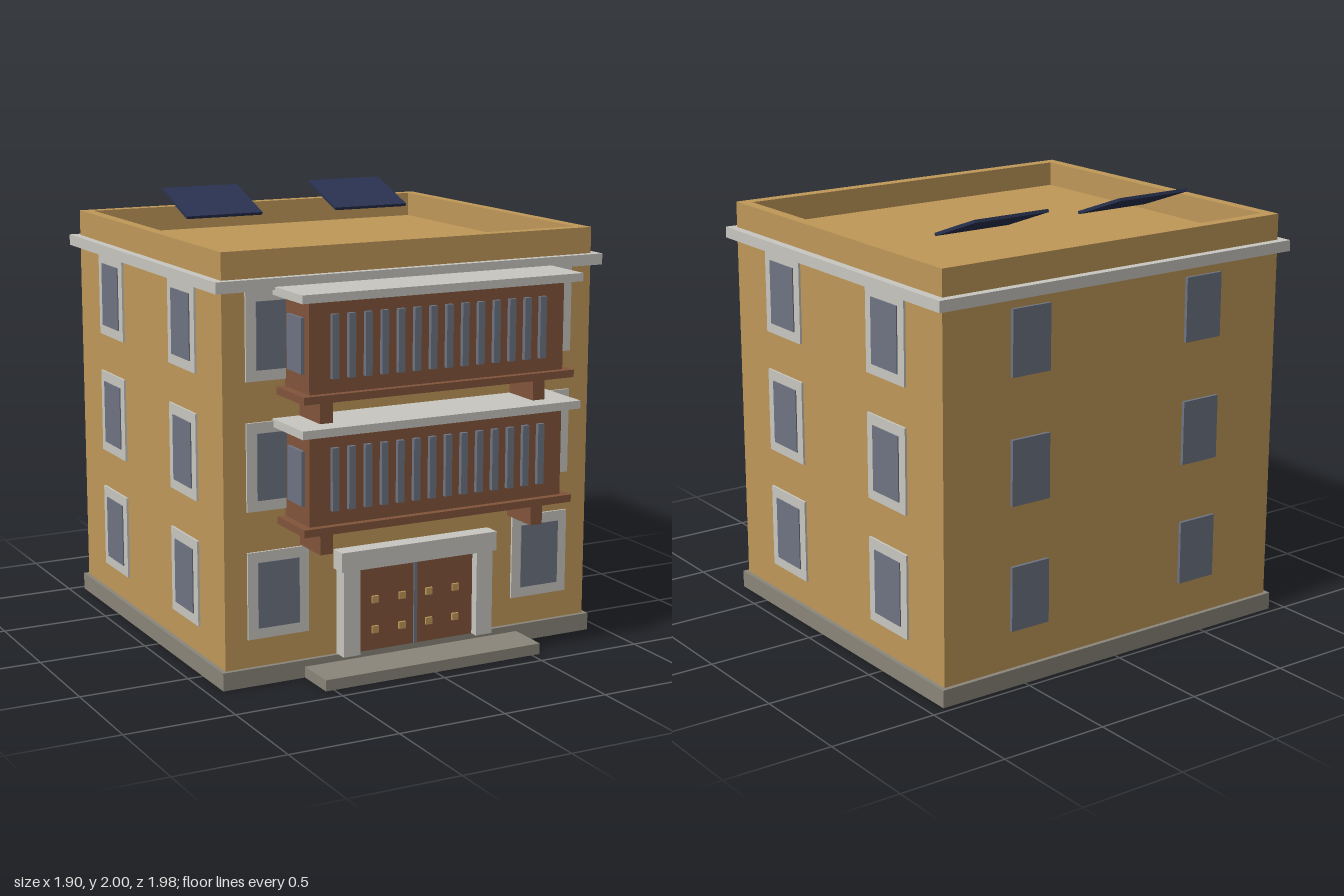
import * as THREE from 'three';

const material = (name, color) => {
  const m = new THREE.MeshStandardMaterial({ color });
  m.name = name;
  return m;
};

export function createModel() {
  const ochre = material('ochre plaster', 0xc09859);
  const stone = material('pale stone', 0xc8c7c0);
  const plinthGrey = material('plinth grey', 0x8a867a);
  const wood = material('brown wood', 0x82553a);
  const glass = material('grey glass', 0x6e7482);
  const navy = material('navy panel', 0x2a3352);

  const model = new THREE.Group();
  model.name = 'building';

  // Box given by its extents on each axis
  const box = (name, mat, [x0, x1], [y0, y1], [z0, z1], parent = model) => {
    const mesh = new THREE.Mesh(new THREE.BoxGeometry(x1 - x0, y1 - y0, z1 - z0), mat);
    mesh.position.set((x0 + x1) / 2, (y0 + y1) / 2, (z0 + z1) / 2);
    mesh.name = name;
    parent.add(mesh);
    return mesh;
  };

  // Main block
  box('plinth', plinthGrey, [-0.93, 0.93], [0, 0.08], [-0.97, 0.72]);
  box('doorStep', plinthGrey, [-0.54, 0.54], [0, 0.05], [0.72, 0.92]);
  box('walls', ochre, [-0.91, 0.91], [0.08, 1.774], [-0.95, 0.7]);
  box('cornice', stone, [-0.95, 0.95], [1.72, 1.77], [-0.99, 0.735]);

  // Parapet ring around the flat roof
  const ring = new THREE.Shape();
  ring.moveTo(-0.91, -0.7).lineTo(0.91, -0.7).lineTo(0.91, 0.95).lineTo(-0.91, 0.95).closePath();
  const opening = new THREE.Path();
  opening.moveTo(-0.857, -0.643).lineTo(-0.857, 0.897).lineTo(0.857, 0.897).lineTo(0.857, -0.643).closePath();
  ring.holes.push(opening);
  const parapet = new THREE.Mesh(
    new THREE.ExtrudeGeometry(ring, { depth: 0.118, bevelEnabled: false }), ochre);
  parapet.rotation.x = -Math.PI / 2;
  parapet.position.y = 1.77;
  parapet.name = 'parapet';
  model.add(parapet);

  // Windows, built facing +z and turned to their wall
  const addWindow = (x, y, z, turn, framed) => {
    const win = new THREE.Group();
    win.name = 'window';
    if (framed) box('windowFrame', stone, [-0.145, 0.145], [-0.193, 0.193], [-0.01, 0.01], win);
    box('windowPane', glass, [-0.098, 0.098], [-0.146, 0.146], [-0.01, 0.015], win);
    win.position.set(x, y, z);
    win.rotation.y = turn;
    model.add(win);
  };
  for (const y of [0.4, 0.965, 1.528]) {
    for (const s of [-1, 1]) {
      addWindow(s * 0.66, y, 0.7, 0, true);
      addWindow(s * 0.47, y, -0.95, Math.PI, false);
      for (const z of [0.29, -0.54]) addWindow(s * 0.91, y, z, s * Math.PI / 2, true);
    }
  }

  // Two projecting wooden bays with slatted fronts
  for (const y of [0, 0.565]) {
    const bay = new THREE.Group();
    bay.name = 'balconyBay';
    bay.position.y = y;
    model.add(bay);
    box('bayBody', wood, [-0.62, 0.62], [0.735, 1.135], [0.7, 0.93], bay);
    box('baySill', wood, [-0.66, 0.66], [0.705, 0.738], [0.7, 0.962], bay);
    box('bayRoof', stone, [-0.68, 0.68], [1.132, 1.168], [0.7, 0.99], bay);
    for (let i = 0; i < 14; i++) {
      const x = (i - 6.5) * 0.0778;
      box('slat', glass, [x - 0.016, x + 0.016], [0.8, 1.072], [0.92, 0.95], bay);
    }
    for (const s of [-1, 1]) {
      const x = s * 0.523;
      box('bracket', wood, [x - 0.03, x + 0.03], [0.6, 0.693], [0.7, 0.895], bay);
      const sx = s * 0.625;
      box('bayPane', glass, [sx - 0.01, sx + 0.01], [0.82, 1.057], [0.75, 0.886], bay);
    }
  }

  // Entrance
  box('door', wood, [-0.296, 0.296], [0.08, 0.472], [0.7, 0.73]);
  box('doorSeam', glass, [-0.008, 0.008], [0.081, 0.47], [0.725, 0.738]);
  box('lintel', stone, [-0.39, 0.39], [0.47, 0.557], [0.7, 0.78]);
  for (const s of [-1, 1]) {
    const px = s * 0.335;
    box('doorPost', stone, [px - 0.041, px + 0.041], [0.08, 0.47], [0.7, 0.77]);
    for (const x of [0.068, 0.203]) {
      for (const y of [0.175, 0.313]) {
        box('doorStud', ochre, [s * x - 0.016, s * x + 0.016], [y - 0.016, y + 0.016], [0.725, 0.742]);
      }
    }
    // Tilted roof panel
    const panel = box('solarPanel', navy, [s * 0.387 - 0.193, s * 0.387 + 0.193],
      [1.936, 1.95], [-0.719, -0.411]);
    panel.rotation.x = 0.35;
  }

  return model;
}
